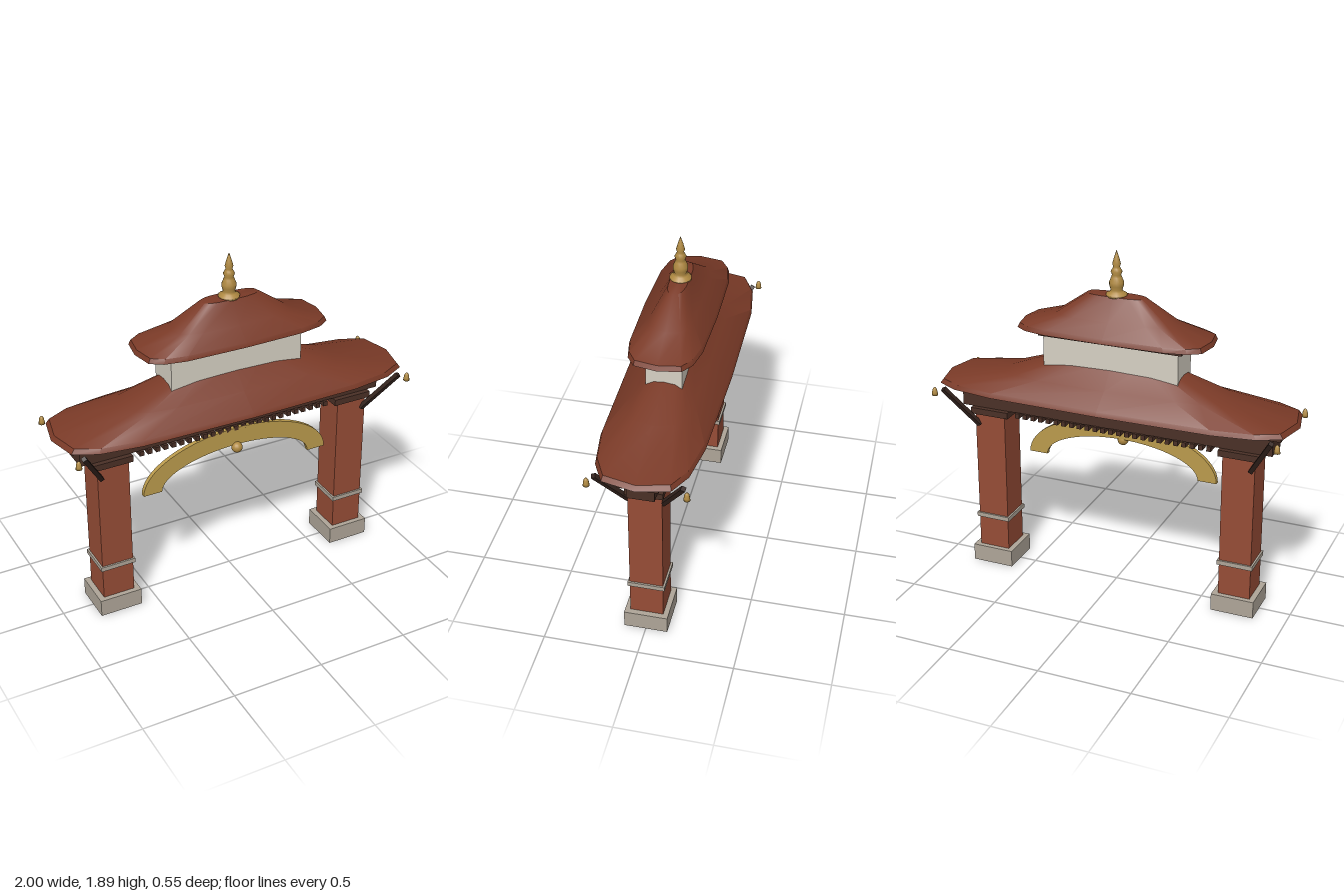
import * as THREE from 'three';
import { toCreasedNormals } from 'three/addons/utils/BufferGeometryUtils.js';

const paint = (name, color) => {
  const m = new THREE.MeshStandardMaterial({ color });
  m.name = name;
  return m;
};

export function createModel() {
  const model = new THREE.Group();
  model.name = 'gateway';
  const brick = paint('brick', 0x964c36);
  const tile = paint('roof tile', 0x7a3a27);
  const stone = paint('stone', 0xaea598);
  const plaster = paint('plaster', 0xd6d0c3);
  const wood = paint('dark wood', 0x4a3026);
  const strutWood = paint('strut wood', 0x35241e);
  const gold = paint('gold', 0xba9a4c);
  const brass = paint('brass', 0xb08a42);

  const add = (name, geometry, material, x = 0, y = 0, z = 0) => {
    const mesh = new THREE.Mesh(geometry, material);
    mesh.name = name;
    mesh.position.set(x, y, z);
    model.add(mesh);
    return mesh;
  };
  // Box given by width, depth, and bottom and top heights
  const block = (name, material, w, d, y0, y1, x = 0, z = 0) =>
    add(name, new THREE.BoxGeometry(w, y1 - y0, d), material, x, (y0 + y1) / 2, z);

  // Curved hip roof: rounded-rectangle rings [half width, half depth, y, roundness]
  const roof = (name, rings) => {
    const sides = 16, pos = [], index = [];
    const bend = (v, p) => (Math.abs(v) < 1e-6 ? 0 : Math.sign(v) * Math.abs(v) ** p);
    for (const [rx, rz, y, p] of rings) {
      for (let i = 0; i < sides; i++) {
        const a = (i / sides) * Math.PI * 2;
        pos.push(rx * bend(Math.cos(a), p), y, rz * bend(Math.sin(a), p));
      }
    }
    for (let j = 0; j < rings.length - 1; j++) {
      for (let i = 0; i < sides; i++) {
        const a = j * sides + i, b = j * sides + ((i + 1) % sides);
        if (rings[j][0] > 0) index.push(a, a + sides, b);
        if (rings[j + 1][0] > 0) index.push(b, a + sides, b + sides);
      }
    }
    const g = new THREE.BufferGeometry();
    g.setAttribute('position', new THREE.Float32BufferAttribute(pos, 3));
    g.setIndex(index);
    add(name, toCreasedNormals(g, 0.65), tile);
  };

  // Pillars with plinth, band and capital
  for (const s of [1, -1]) {
    const side = s > 0 ? 'left' : 'right';
    const x = s * 0.71;
    block(side + 'Plinth', stone, 0.235, 0.23, 0, 0.095, x);
    block(side + 'Pillar', brick, 0.175, 0.175, 0.095, 0.9, x);
    block(side + 'PillarBand', stone, 0.195, 0.195, 0.27, 0.295, x);
    block(side + 'Capital', wood, 0.22, 0.195, 0.895, 0.93, x);
  }

  // Beam, cornice and the row of joist ends
  block('beam', wood, 1.76, 0.14, 0.93, 1.03);
  block('cornice', wood, 1.86, 0.205, 1.03, 1.085);
  for (let i = -12; i <= 12; i++) {
    block('joist', wood, 0.024, 0.17, 0.905, 0.932, i * 0.0455);
  }

  // Lower roof, upper storey and upper roof
  roof('lowerRoof', [
    [0, 0, 1.08, 0.5], [0.998, 0.275, 1.08, 0.5], [0.98, 0.266, 1.105, 0.5],
    [0.615, 0.165, 1.18, 0.5], [0.3, 0.068, 1.3, 0.65], [0, 0, 1.3, 0.65],
  ]);
  block('upperWall', plaster, 0.75, 0.186, 1.2, 1.412);
  block('upperCornice', wood, 0.795, 0.217, 1.41, 1.448);
  roof('upperRoof', [
    [0, 0, 1.445, 0.5], [0.53, 0.193, 1.445, 0.5], [0.518, 0.186, 1.47, 0.5],
    [0.325, 0.112, 1.535, 0.5], [0.16, 0.048, 1.65, 0.7], [0, 0, 1.65, 0.7],
  ]);

  // Turned finial
  const finial = [
    [0, 1.645], [0.055, 1.645], [0.055, 1.658], [0.036, 1.668], [0.03, 1.68],
    [0.037, 1.7], [0.038, 1.72], [0.028, 1.745], [0.023, 1.757], [0.03, 1.775],
    [0.022, 1.79], [0.017, 1.8], [0.022, 1.815], [0.014, 1.845], [0, 1.888],
  ].map(([r, y]) => new THREE.Vector2(r, y));
  add('finial', new THREE.LatheGeometry(finial, 16), brass);

  // Arched panel with a ball at its centre
  const arch = new THREE.Shape();
  arch.absellipse(0, 0, 0.545, 0.265, 0, Math.PI, false);
  arch.lineTo(-0.44, 0);
  arch.absellipse(0, 0, 0.44, 0.163, Math.PI, 0, true);
  arch.closePath();
  const archGeometry = new THREE.ExtrudeGeometry(arch, { depth: 0.025, bevelEnabled: false, curveSegments: 16 });
  add('archPanel', toCreasedNormals(archGeometry, 0.6), gold, 0, 0.655, 0.06);
  add('archBall', new THREE.SphereGeometry(0.03, 16, 12), brass, 0, 0.805, 0.09);

  // Slanted corner struts and hanging bells
  const bell = [[0, -0.022], [0.017, -0.022], [0.015, -0.008], [0.012, 0.01], [0.006, 0.02], [0, 0.024]]
    .map(([r, y]) => new THREE.Vector2(r, y));
  for (const sx of [1, -1]) {
    for (const sz of [1, -1]) {
      const low = new THREE.Vector3(sx * 0.775, 0.835, sz * 0.085);
      const high = new THREE.Vector3(sx * 0.915, 1.07, sz * 0.22);
      const strut = add('strut', new THREE.BoxGeometry(0.024, low.distanceTo(high), 0.024), strutWood);
      strut.position.addVectors(low, high).multiplyScalar(0.5);
      strut.quaternion.setFromUnitVectors(new THREE.Vector3(0, 1, 0), high.sub(low).normalize());
      add('bell', new THREE.LatheGeometry(bell, 12), brass, sx * 0.953, 1.06, sz * 0.245);
    }
  }
  return model;
}
